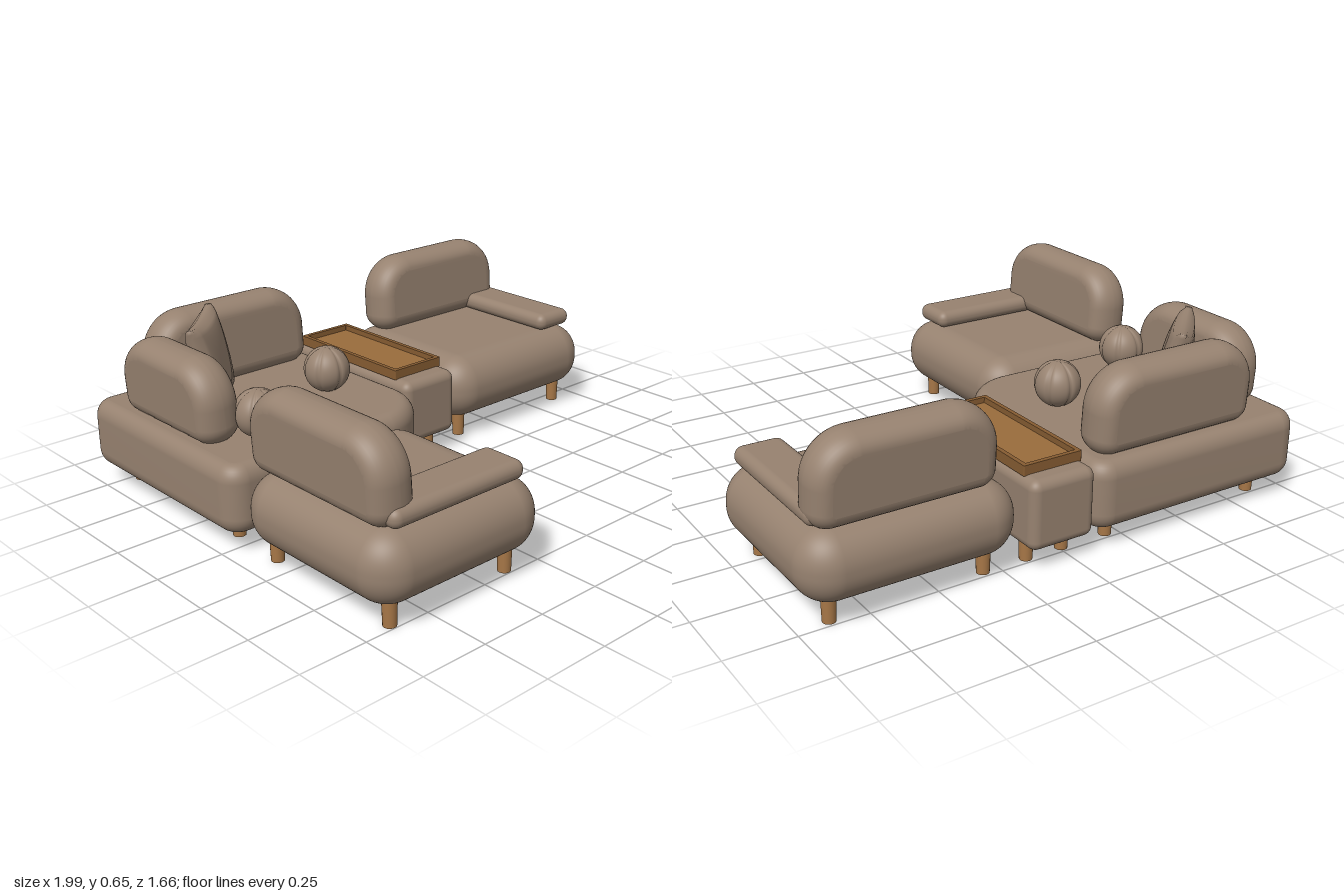
import * as THREE from 'three';
import { mergeVertices } from 'three/addons/utils/BufferGeometryUtils.js';
import { RoundedBoxGeometry } from 'three/addons/geometries/RoundedBoxGeometry.js';

const mat = (name, color) => Object.assign(new THREE.MeshStandardMaterial({ color }), { name });

// Weld vertices and recompute normals so the surface shades smoothly
function smooth(geo) {
  geo.deleteAttribute('uv');
  geo.deleteAttribute('normal');
  const out = mergeVertices(geo, 1e-4);
  out.computeVertexNormals();
  return out;
}

// Move every vertex of a geometry by a rule
function deform(geo, rule) {
  const p = geo.attributes.position, v = new THREE.Vector3();
  for (let i = 0; i < p.count; i++) {
    rule(v.fromBufferAttribute(p, i));
    p.setXYZ(i, v.x, v.y, v.z);
  }
  return smooth(geo);
}

// Centred rectangle with its own radius per corner: bottom left, bottom right, top right, top left
function roundedRect(w, h, [bl, br, tr, tl]) {
  const s = new THREE.Shape(), x = w / 2, y = h / 2, q = Math.PI / 2;
  s.absarc(-x + bl, -y + bl, bl, 2 * q, 3 * q);
  s.absarc(x - br, -y + br, br, 3 * q, 4 * q);
  s.absarc(x - tr, y - tr, tr, 0, q);
  s.absarc(-x + tl, y - tl, tl, q, 2 * q);
  return s;
}

// Soft slab: rounded outline swept through its thickness with a round bevel
function softSlab(w, h, t, radii, size, thick) {
  const geo = new THREE.ExtrudeGeometry(roundedRect(w - 2 * size, h - 2 * size, radii), {
    depth: t - 2 * thick, bevelEnabled: true, bevelSize: size, bevelThickness: thick,
    bevelSegments: 8, curveSegments: 10,
  });
  geo.translate(0, 0, -t / 2 + thick);
  return smooth(geo);
}

export function createModel() {
  const root = new THREE.Group();
  root.name = 'modularSofa';
  const fabric = mat('taupe fabric', 0x978270);
  const legWood = mat('leg wood', 0xa87848);
  const trayWood = mat('tray wood', 0x9a6c3c);
  const rimWood = mat('tray rim wood', 0x865c32);

  const add = (parent, name, geo, material, x = 0, y = 0, z = 0) => {
    const m = new THREE.Mesh(geo, material);
    m.name = name;
    m.position.set(x, y, z);
    parent.add(m);
    return m;
  };
  const group = (name) => {
    const g = new THREE.Group();
    g.name = name;
    root.add(g);
    return g;
  };
  const box = (x0, x1, y0, y1, z0, z1, r) => {
    const geo = new RoundedBoxGeometry(x1 - x0, y1 - y0, z1 - z0, 6, r);
    return geo.translate((x0 + x1) / 2, (y0 + y1) / 2, (z0 + z1) / 2);
  };

  const legGeo = new THREE.CylinderGeometry(0.026, 0.023, 0.1, 20);
  const legs = (parent, xs, zs) => {
    for (const x of xs) for (const z of zs) add(parent, 'leg', legGeo, legWood, x, 0.05, z);
  };

  // Leaning backrest cushion; turn = 0 leans to -z, PI/2 leans to -x
  const backrest = (parent, length, y0, y1, x, z, turn) => {
    const geo = softSlab(length, y1 - y0, 0.165, [0.012, 0.012, 0.1, 0.1], 0.06, 0.08);
    const m = add(parent, 'backrest', geo, fabric, x, (y0 + y1) / 2, z);
    m.rotation.order = 'YXZ';
    m.rotation.set(-0.06, turn, 0);
  };

  // Plump seat cushion, slightly bowed along its sides
  const seat = (parent, x0, x1, z0, z1) => {
    const w = x1 - x0, d = z1 - z0;
    const geo = deform(new RoundedBoxGeometry(w, 0.258, d, 10, 0.122), (v) => {
      const u = v.x / (w / 2), k = v.z / (d / 2);
      v.x *= 1 - 0.025 * k * k;
      v.z *= 1 - 0.025 * u * u;
    });
    add(parent, 'seat', geo, fabric, (x0 + x1) / 2, 0.207, (z0 + z1) / 2);
  };

  // Right-hand chair with its arm on the outer side
  const sideChair = group('sideChair');
  seat(sideChair, 0.2, 0.998, -0.835, -0.107);
  backrest(sideChair, 0.67, 0.325, 0.635, 0.612, -0.71, 0);
  add(sideChair, 'armrest', box(0.767, 0.948, 0.337, 0.406, -0.74, -0.178, 0.033), fabric);
  legs(sideChair, [0.31, 0.88], [-0.21, -0.72]);

  // Front chair facing +x
  const frontChair = group('frontChair');
  seat(frontChair, -1, -0.27, 0.085, 0.83);
  backrest(frontChair, 0.67, 0.325, 0.635, -0.87, 0.427, Math.PI / 2);
  add(frontChair, 'armrest', box(-0.91, -0.348, 0.337, 0.406, 0.6, 0.782, 0.033), fabric);
  legs(frontChair, [-0.885, -0.385], [0.16, 0.725]);

  // Corner base with one large rounded inner corner
  const corner = group('cornerSeat');
  const base = softSlab(0.93, 0.912, 0.25, [0.03, 0.17, 0.03, 0.03], 0.05, 0.06);
  add(corner, 'cornerBase', base.rotateX(-Math.PI / 2), fabric, -0.535, 0.2, -0.38);
  backrest(corner, 0.69, 0.31, 0.628, -0.463, -0.71, 0);
  backrest(corner, 0.55, 0.31, 0.61, -0.87, -0.405, Math.PI / 2);
  legs(corner, [-0.87, -0.2], [-0.72, -0.08]);

  // Ball cushions with six pinched seams
  const ballGeo = deform(new THREE.SphereGeometry(0.087, 72, 32), (v) => {
    const step = Math.PI / 3;
    const a = Math.atan2(v.x, v.z) / step;
    const off = (a - Math.round(a)) * step;
    const ring = Math.hypot(v.x, v.z) / 0.087;
    v.multiplyScalar(1 - 0.09 * ring * Math.exp(-((off / 0.09) ** 2)));
  });
  add(corner, 'ballCushion', ballGeo, fabric, -0.29, 0.408, -0.303);
  add(corner, 'ballCushion', ballGeo, fabric, -0.737, 0.408, -0.122).rotation.y = 0.2;

  // Square throw pillow: thick middle, thin edges, pointed corners
  const half = 0.165;
  const pillowGeo = deform(new THREE.BoxGeometry(2, 2, 2, 20, 20, 2), (v) => {
    const a = 1 - v.x * v.x, b = 1 - v.y * v.y;
    const t = 0.012 + 0.044 * Math.pow(Math.max(a * b, 0), 0.35);
    v.set(v.x * half * (1 - 0.08 * b), v.y * half * (1 - 0.08 * a), v.z * t);
  });
  const pillow = add(corner, 'throwPillow', pillowGeo, fabric, -0.665, 0.483, -0.51);
  pillow.rotation.order = 'YXZ';
  pillow.rotation.set(-0.2, Math.PI / 4, 0);

  // Console between the seats
  const table = group('console');
  add(table, 'consoleBody', box(-0.065, 0.193, 0.08, 0.335, -0.835, -0.105, 0.035), fabric);
  legs(table, [-0.01, 0.137], [-0.72, -0.21]);

  // Wooden tray: raised rim around a sunken floor
  const rim = roundedRect(0.235, 0.578, [0.004, 0.004, 0.004, 0.004]);
  rim.holes.push(roundedRect(0.201, 0.544, [0.003, 0.003, 0.003, 0.003]));
  const rimGeo = new THREE.ExtrudeGeometry(rim, { depth: 0.038, bevelEnabled: false, curveSegments: 3 });
  add(table, 'trayRim', rimGeo.rotateX(-Math.PI / 2), rimWood, 0.064, 0.332, -0.472);
  add(table, 'trayFloor', new THREE.BoxGeometry(0.205, 0.014, 0.548), trayWood, 0.064, 0.342, -0.472);

  return root;
}
